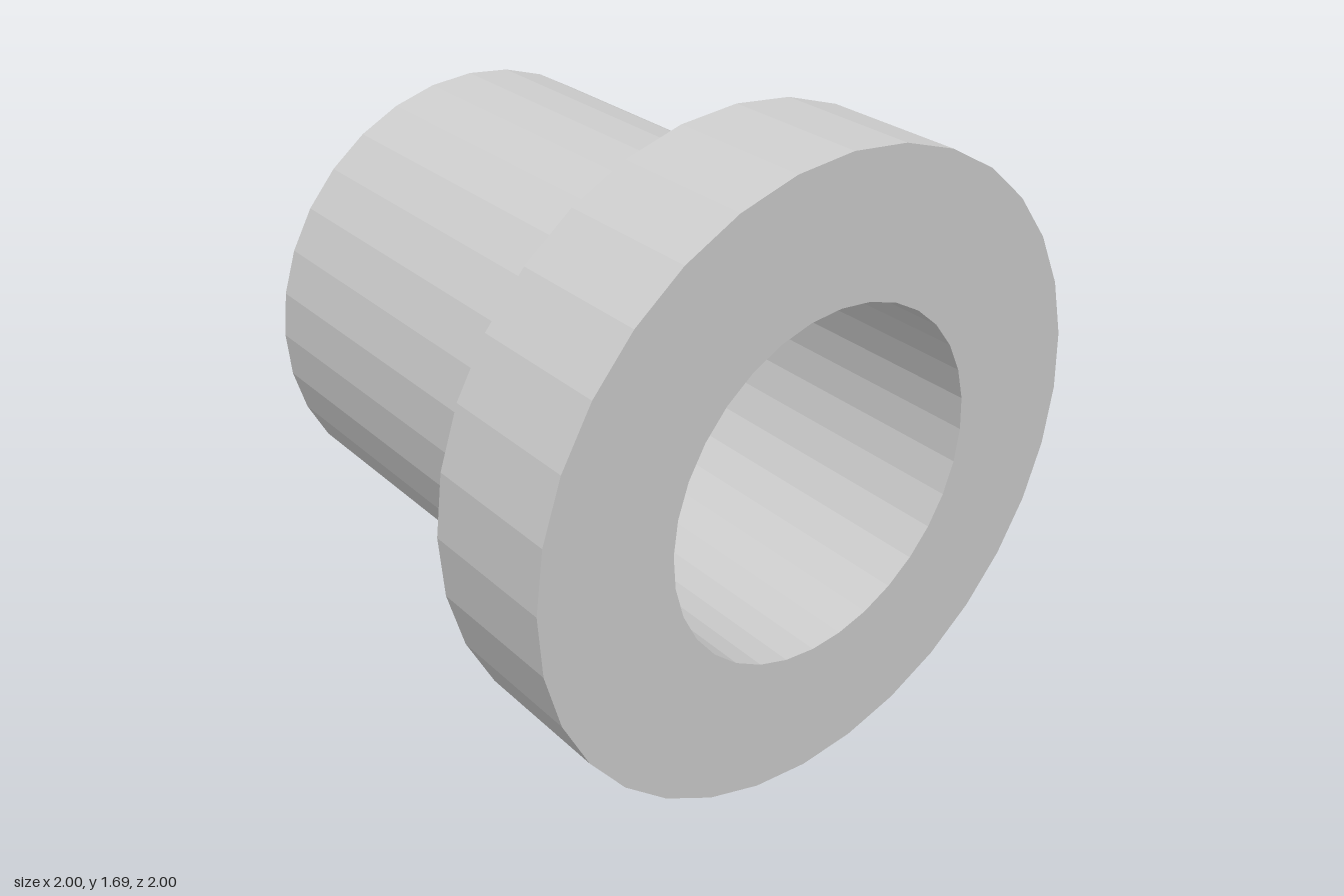
import * as THREE from 'three';

const SEGMENTS = 32;
const BORE = 0.465, BARREL = 0.617, FLANGE = 0.832;
const LENGTH = 1.455, THICKNESS = 0.373;

export function createModel() {
  const group = new THREE.Group();
  group.name = 'flangedBushing';

  // Closed section, from the barrel end (y = 0) to the flange face, back down the bore
  const section = [
    [BORE, 0], [BARREL, 0],
    [BARREL, LENGTH - THICKNESS], [FLANGE, LENGTH - THICKNESS],
    [FLANGE, LENGTH], [BORE, LENGTH], [BORE, 0],
  ].map(([r, y]) => new THREE.Vector2(r, y));

  const bushing = new THREE.Mesh(
    new THREE.LatheGeometry(section, SEGMENTS),
    new THREE.MeshStandardMaterial({ color: 0xcccccc, flatShading: true })
  );
  bushing.name = 'flangedSleeve';

  // Tilt the axis so the flange faces front-left and slightly down
  const axis = new THREE.Vector3(0.522, -0.088, 0.849).normalize();
  bushing.quaternion.setFromUnitVectors(new THREE.Vector3(0, 1, 0), axis);
  bushing.position.set(0.285, 0.833, 0.56).addScaledVector(axis, -LENGTH);
  group.add(bushing);

  return group;
}
